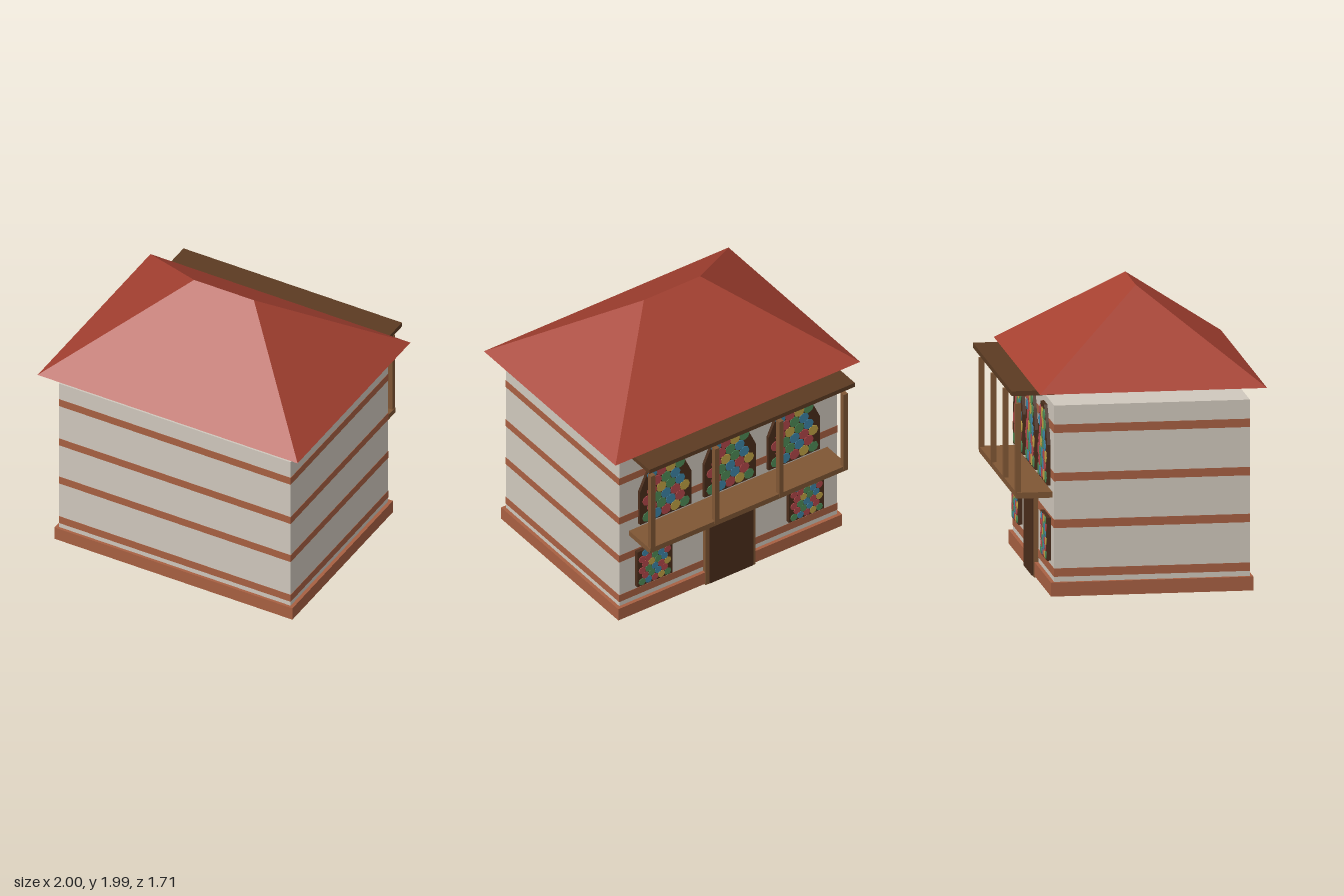
import * as THREE from 'three';
import { mergeGeometries } from 'three/addons/utils/BufferGeometryUtils.js';

const mat = (name, color) => {
  const m = new THREE.MeshStandardMaterial({ color });
  m.name = name;
  return m;
};

export function createModel() {
  const house = new THREE.Group();
  house.name = 'house';

  const plaster = mat('plaster', 0xd0c8bd);
  const brick = mat('brick', 0xa86042);
  const tile = mat('roofTile', 0xa64131);
  const darkWood = mat('darkWood', 0x5c3b22);
  const lightWood = mat('lightWood', 0x7f5634);
  const deepBrown = mat('deepBrown', 0x4a2d1b);
  const glass = [
    mat('redGlass', 0xb5484a), mat('blueGlass', 0x3f86a8),
    mat('greenGlass', 0x4f8c58), mat('yellowGlass', 0xc2a344),
  ];

  const add = (parent, name, geometry, material) => {
    const mesh = new THREE.Mesh(geometry, material);
    mesh.name = name;
    parent.add(mesh);
    return mesh;
  };

  // Box given by its limits on each axis
  const box = (name, material, [x0, x1], [y0, y1], [z0, z1], parent = house) => {
    const mesh = add(parent, name, new THREE.BoxGeometry(x1 - x0, y1 - y0, z1 - z0), material);
    mesh.position.set((x0 + x1) / 2, (y0 + y1) / 2, (z0 + z1) / 2);
    return mesh;
  };

  // Walls, plinth and brick bands
  box('walls', plaster, [-0.89, 0.89], [0.015, 1.31], [-0.577, 0.75]);
  box('plinth', brick, [-0.915, 0.915], [0.01, 0.105], [-0.602, 0.77]);
  for (const y of [0.14, 0.473, 0.793, 1.123]) {
    box('brickBand', brick, [-0.892, 0.892], [y, y + 0.057], [-0.579, 0.752]);
  }

  // Hipped roof with a closed underside
  const eave = 1.408, top = 1.985, zb = -0.69, zf = 0.85, zr = 0.08;
  const roof = new THREE.BufferGeometry();
  roof.setAttribute('position', new THREE.Float32BufferAttribute([
    -1, eave, zf, 1, eave, zf, 1, eave, zb, -1, eave, zb, -0.23, top, zr, 0.23, top, zr,
  ], 3));
  roof.setIndex([
    0, 1, 5, 0, 5, 4, // front
    1, 2, 5,          // left end
    2, 3, 4, 2, 4, 5, // back
    3, 0, 4,          // right end
    0, 3, 2, 0, 2, 1, // underside
  ]);
  const flatRoof = roof.toNonIndexed();
  flatRoof.computeVertexNormals();
  add(house, 'roof', flatRoof, tile);

  // Balcony with posts and canopy
  const balcony = new THREE.Group();
  balcony.name = 'balcony';
  house.add(balcony);
  box('balconyFloor', lightWood, [-0.81, 0.81], [0.665, 0.705], [-0.82, -0.575], balcony);
  box('canopy', darkWood, [-0.84, 0.84], [1.373, 1.406], [-0.857, -0.567], balcony);
  for (const x of [-0.787, -0.262, 0.262, 0.787]) {
    box('post', lightWood, [x - 0.018, x + 0.018], [0.685, 1.313], [-0.826, -0.79], balcony);
  }

  // Door and its frame
  box('doorFrame', lightWood, [-0.205, 0.205], [0, 0.595], [-0.606, -0.57]);
  box('door', deepBrown, [-0.178, 0.178], [0.008, 0.568], [-0.617, -0.6]);

  // Stained glass window: profile is half the outline as [half width, y] from the sill up
  const stainedWindow = (name, profile, x, z, pitch) => {
    const win = new THREE.Group();
    win.name = name;
    win.position.set(x, 0, z);
    house.add(win);
    const outline = [
      ...profile.map(([w, y]) => new THREE.Vector2(w, y)),
      ...[...profile].reverse().map(([w, y]) => new THREE.Vector2(-w, y)),
    ];
    const depth = -0.572 - z;
    add(win, 'windowFrame', new THREE.ExtrudeGeometry(new THREE.Shape(outline), { depth, bevelEnabled: false }), deepBrown);

    // Half width of the outline at a height
    const halfWidth = (y) => {
      for (let i = 1; i < profile.length; i++) {
        const [w0, y0] = profile[i - 1], [w1, y1] = profile[i];
        if (y <= y1) return w0 + (w1 - w0) * (y - y0) / (y1 - y0);
      }
      return 0;
    };

    // Staggered rows of small panes in four colours
    const panes = [[], [], [], []];
    const r = pitch * 0.54, rowStep = pitch * 0.9;
    const y0 = profile[0][1], y1 = profile[profile.length - 1][1];
    for (let row = 0, y = y0 + r * 1.15; y < y1 - r * 0.8; row++, y += rowStep) {
      for (let col = -5; col <= 5; col++) {
        const px = (col + (row % 2 ? 0.5 : 0)) * pitch;
        if (Math.abs(px) + r * 0.95 > halfWidth(y)) continue;
        const pane = new THREE.CylinderGeometry(r, r, 0.006, 8);
        pane.rotateX(Math.PI / 2).translate(px, y, -0.001);
        const pick = (col + 8 + row * 2 + (row >> 1) + (row * col % 3 === 1 ? 1 : 0)) % 4;
        panes[pick].push(pane);
      }
    }
    panes.forEach((list, i) => {
      if (list.length) add(win, 'panes', mergeGeometries(list), glass[i]);
    });
  };

  const arch = [[0.21, 0.735], [0.21, 1.01], [0.147, 1.15], [0.073, 1.26]];
  for (const x of [-0.525, 0, 0.525]) stainedWindow('archedWindow', arch, x, -0.6, 0.076);

  const square = [[0.143, 0.225], [0.143, 0.518]];
  for (const x of [-0.62, 0.62]) stainedWindow('squareWindow', square, x, -0.606, 0.052);

  return house;
}
